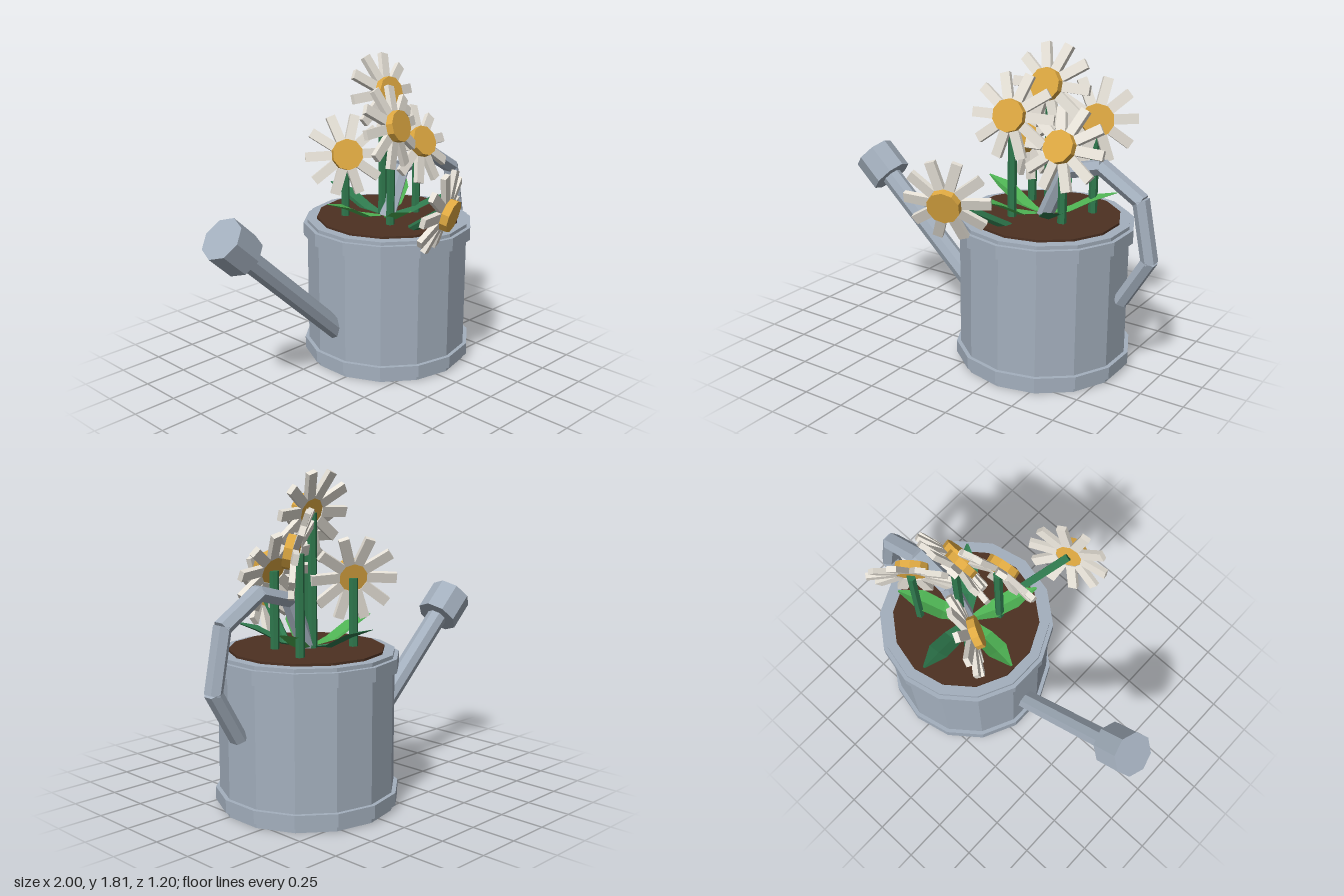
import * as THREE from 'three';

const mat = (name, color, extra = {}) => {
  const m = new THREE.MeshStandardMaterial({ color, flatShading: true, ...extra });
  m.name = name;
  return m;
};

export function createModel() {
  const model = new THREE.Group();
  model.name = 'plantedWateringCan';

  const metal = mat('grey metal', 0xa3afbd);
  const earth = mat('brown soil', 0x4d3122);
  const white = mat('petal white', 0xe6e1d7);
  const gold = mat('flower gold', 0xe0aa42);
  const stemGreen = mat('stem green', 0x2f7a4e);
  const leafGreen = mat('leaf green', 0x4db052, { side: THREE.DoubleSide });
  const leafTeal = mat('dark leaf green', 0x2f7a4e, { side: THREE.DoubleSide });

  const CX = 0.32, CZ = -0.11;
  const add = (parent, name, geo, material) => {
    const mesh = new THREE.Mesh(geo, material);
    mesh.name = name;
    parent.add(mesh);
    return mesh;
  };

  // Upright 14-sided drum around the can's axis
  const drum = (name, r, y0, y1, material) =>
    add(model, name, new THREE.CylinderGeometry(r, r, y1 - y0, 14), material)
      .position.set(CX, (y0 + y1) / 2, CZ);
  drum('canBody', 0.477, 0, 0.85, metal);
  drum('bottomBand', 0.5, 0.03, 0.1, metal);
  drum('topBand', 0.5, 0.755, 0.83, metal);
  drum('soil', 0.42, 0.8, 0.863, earth);

  // Straight rod in the can's middle plane, with a corner facing front
  const planeRod = (name, a, b, r, sides, squash = 1, extend = 0) => {
    const dx = b[0] - a[0], dy = b[1] - a[1];
    const geo = new THREE.CylinderGeometry(r, r, Math.hypot(dx, dy) + extend, sides);
    geo.scale(squash, 1, 1);
    const rod = add(model, name, geo, metal);
    rod.position.set((a[0] + b[0]) / 2, (a[1] + b[1]) / 2, CZ);
    rod.rotation.z = Math.atan2(-dx, dy);
  };

  // Spout and sprinkler head
  planeRod('spout', [-0.08, 0.232], [-0.82, 0.923], 0.06, 8);
  planeRod('spoutHead', [-0.78, 0.886], [-0.915, 1.012], 0.125, 8);

  // Handle bent from straight segments
  const bends = [[0.31, 0.84], [0.44, 1.13], [0.66, 1.19], [0.895, 1.045], [0.96, 0.72], [0.808, 0.462]];
  for (let i = 0; i < bends.length - 1; i++)
    planeRod('handleSegment', bends[i], bends[i + 1], 0.055, 6, 0.8, 0.015);

  // Stem between two points
  const stem = (from, to) => {
    const a = new THREE.Vector3(...from), b = new THREE.Vector3(...to);
    const dir = b.clone().sub(a);
    const rod = add(model, 'stem', new THREE.CylinderGeometry(0.025, 0.025, dir.length(), 6), stemGreen);
    rod.position.copy(a).lerp(b, 0.5);
    rod.quaternion.setFromUnitVectors(new THREE.Vector3(0, 1, 0), dir.normalize());
  };

  // Flower head: a disc with ten petals swept slightly back
  const discGeo = new THREE.CylinderGeometry(0.09, 0.09, 0.065, 10).rotateX(Math.PI / 2);
  const petalGeo = new THREE.BoxGeometry(0.16, 0.055, 0.03).translate(0.158, 0, 0);
  petalGeo.rotateY(0.16).translate(0, 0, -0.012);
  const flower = (center, normal) => {
    const head = new THREE.Group();
    head.name = 'flower';
    head.position.set(...center);
    head.lookAt(center[0] + normal[0], center[1] + normal[1], center[2] + normal[2]);
    add(head, 'flowerDisc', discGeo, gold);
    for (let i = 0; i < 10; i++)
      add(head, 'petal', petalGeo, white).rotation.z = (i * Math.PI) / 5;
    model.add(head);
  };

  // Each flower: centre, facing direction, foot of its stem (upright if omitted)
  const flowers = [
    [[0.313, 1.59, -0.11], [0, 0.28, 0.96]],
    [[0.195, 1.44, 0.07], [0.15, 0.25, 0.95]],
    [[0.473, 1.295, 0.01], [0, 0.42, 0.9]],
    [[0.55, 1.4, -0.245], [0.62, 0.2, 0.75]],
    [[0.11, 1.24, -0.24], [-0.5, 0.25, 0.83]],
    [[0.1, 1.05, 0.53], [0.3, -0.25, 0.92], [0.26, 0.82, 0.1]],
  ];
  for (const [c, n, foot] of flowers) {
    const top = c.map((v, i) => v - n[i] * 0.04);
    flower(c, n);
    stem(foot || [top[0], 0.83, top[2]], top);
  }

  // Leaf: folded blade through cross-sections of [reach, height, half width]
  const sections = [[0.03, 0.868, 0.02], [0.15, 0.895, 0.055], [0.28, 0.965, 0.06], [0.41, 1.0, 0.006]];
  const pos = [], idx = [];
  sections.forEach(([r, y, w], i) => {
    pos.push(r, y, w, r, y - w * 0.35, 0, r, y, -w);
    if (!i) return;
    for (let k = 0; k < 2; k++) {
      const p = (i - 1) * 3 + k, q = p + 3;
      idx.push(p, q, p + 1, p + 1, q, q + 1);
    }
  });
  const leafGeo = new THREE.BufferGeometry();
  leafGeo.setAttribute('position', new THREE.Float32BufferAttribute(pos, 3));
  leafGeo.setIndex(idx);
  leafGeo.computeVertexNormals();

  // Five leaves fanned around the middle
  for (let i = 0; i < 5; i++) {
    const leaf = add(model, 'leaf', leafGeo, i === 0 || i === 3 ? leafTeal : leafGreen);
    leaf.position.set(0.3, 0, CZ);
    leaf.rotation.y = -THREE.MathUtils.degToRad(46 + i * 72);
  }

  return model;
}
